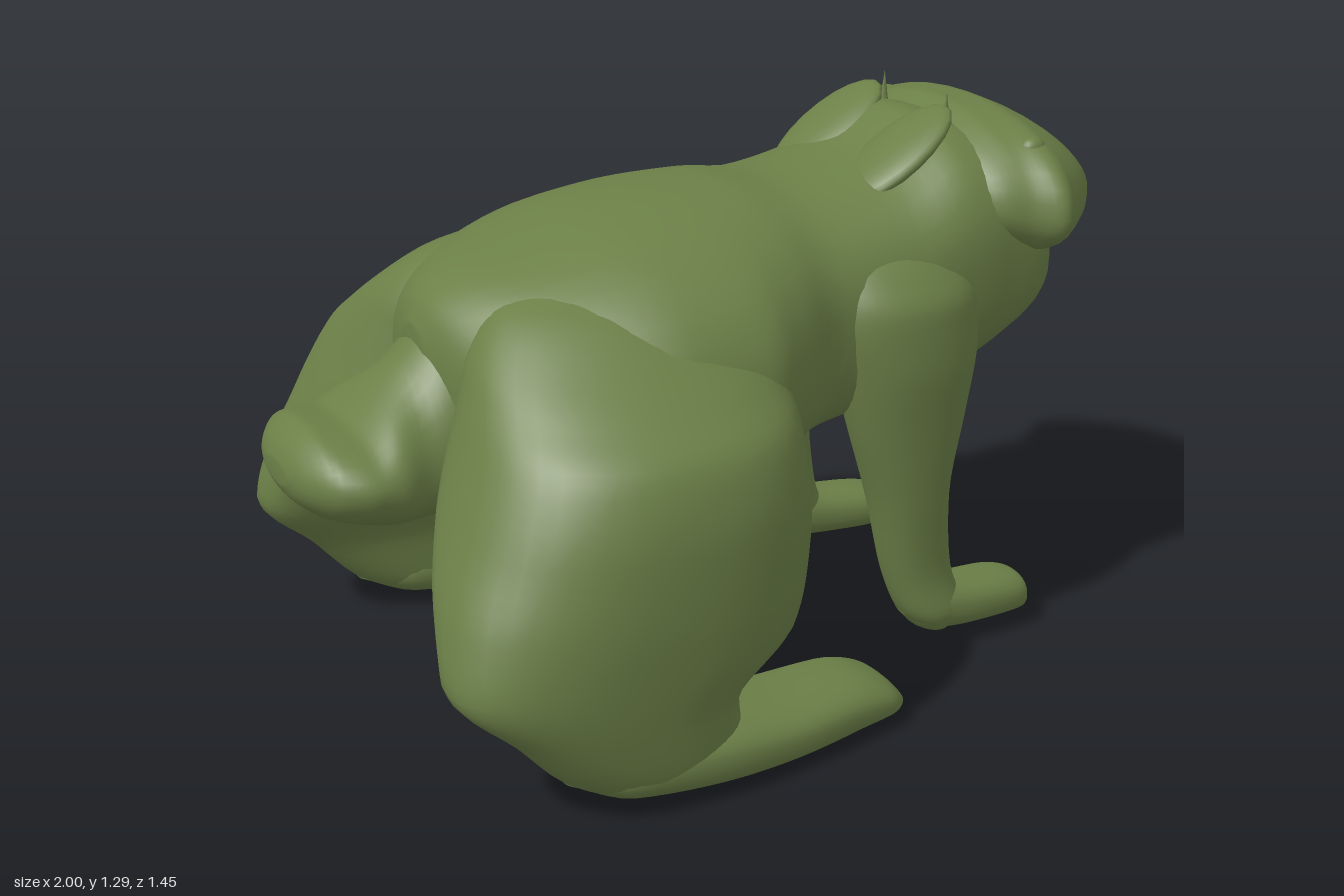
import * as THREE from 'three';

const fur = new THREE.MeshStandardMaterial({ color: 0x6b7f47 });
fur.name = 'mossGreen';
const SIDES = 40;

// Smooth skin through superelliptic rings.
// Ring: [position, u0, u1, uWidest, v0, v1, upperPower, lowerPower]
// Axis 'x' uses u=y v=z, axis 'y' uses u=z v=x.
function loft(name, axis, rings, steps = 5) {
  const rows = [];
  const last = rings.length - 1;
  for (let i = 0; i < last; i++) {
    const [p0, p1, p2, p3] = [-1, 0, 1, 2].map(k => rings[Math.min(last, Math.max(0, i + k))]);
    for (let s = 0; s < steps; s++) {
      const t = s / steps;
      rows.push(p1.map((b, k) => {
        // Tangents limited so the skin never overshoots its rings
        const c = p2[k], d0 = b - p0[k], d1 = c - b, d2 = p3[k] - c;
        const lim = (m, n) => m * n <= 0 ? 0 : 2 * m * n / (m + n);
        const m1 = i === 0 ? d1 : lim(d0, d1), m2 = i === last - 1 ? d1 : lim(d1, d2);
        const t2 = t * t, t3 = t2 * t;
        return (2 * t3 - 3 * t2 + 1) * b + (t3 - 2 * t2 + t) * m1 + (3 * t2 - 2 * t3) * c + (t3 - t2) * m2;
      }));
    }
  }
  rows.push(rings[last]);

  const pos = [], idx = [];
  const put = (t, u, v) => axis === 'x' ? pos.push(t, u, v) : pos.push(v, t, u);
  for (const [t, u0, u1, um, v0, v1, pu, pl] of rows) {
    for (let j = 0; j < SIDES; j++) {
      const a = j / SIDES * Math.PI * 2, c = Math.cos(a), s = Math.sin(a);
      const e = 2 / (c > 0 ? pu : pl);
      const cu = Math.sign(c) * Math.abs(c) ** e, sv = Math.sign(s) * Math.abs(s) ** e;
      put(t, um + cu * (cu > 0 ? u1 - um : um - u0), (v0 + v1) / 2 + sv * (v1 - v0) / 2);
    }
  }
  for (let i = 0; i < rows.length - 1; i++) {
    for (let j = 0; j < SIDES; j++) {
      const k = (j + 1) % SIDES, a = i * SIDES, b = a + SIDES;
      idx.push(a + j, a + k, b + j, a + k, b + k, b + j);
    }
  }
  // End caps
  const n = rows.length * SIDES, e = n - SIDES;
  for (const r of [rows[0], rows[rows.length - 1]]) put(r[0], r[3], (r[4] + r[5]) / 2);
  for (let j = 0; j < SIDES; j++) {
    const k = (j + 1) % SIDES;
    idx.push(n, k, j, n + 1, e + j, e + k);
  }
  const g = new THREE.BufferGeometry();
  g.setAttribute('position', new THREE.Float32BufferAttribute(pos, 3));
  g.setIndex(idx);
  g.computeVertexNormals();
  const mesh = new THREE.Mesh(g, fur);
  mesh.name = name;
  return mesh;
}

// Symmetric rings along x: [x, yBottom, yTop, yWidest, halfWidth, upperPower, lowerPower]
const central = list => list.map(([x, y0, y1, ym, w, pu, pl]) => [x, y0, y1, ym, -w, w, pu, pl]);
// Limb rings along y: [y, zInner, zOuter, xBack, xFront, power]
const limb = (list, s) => list.map(([y, a, b, x0, x1, p]) =>
  [y, Math.min(s * a, s * b), Math.max(s * a, s * b), s * (a + b) / 2, x0, x1, p, p]);
// Foot rings along x: [x, yBottom, yTop, zInner, zOuter, power]
const foot = (list, s) => list.map(([x, y0, y1, a, b, p]) =>
  [x, y0, y1, (y0 + y1) / 2, Math.min(s * a, s * b), Math.max(s * a, s * b), p, p]);

const BODY = [
  [-0.68, 0.62, 0.91, 0.80, 0.07, 2, 2], [-0.65, 0.55, 0.965, 0.80, 0.18, 2, 2.3],
  [-0.58, 0.51, 1.015, 0.78, 0.31, 2.1, 2.8], [-0.45, 0.485, 1.06, 0.76, 0.44, 2.2, 3.2],
  [-0.25, 0.48, 1.115, 0.76, 0.52, 2.1, 3.2], [-0.08, 0.51, 1.135, 0.77, 0.51, 2.1, 3],
  [0.05, 0.545, 1.14, 0.79, 0.44, 2.2, 2.8], [0.2, 0.56, 1.125, 0.82, 0.365, 2.4, 2.8],
  [0.4, 0.59, 1.155, 0.86, 0.36, 2.5, 2.8], [0.56, 0.62, 1.235, 0.94, 0.36, 2.4, 2.8],
  [0.66, 0.67, 1.215, 0.95, 0.35, 2.5, 3], [0.75, 0.755, 1.10, 0.93, 0.335, 2.6, 3.4],
  [0.795, 0.82, 1.0, 0.92, 0.30, 2.6, 3.4], [0.81, 0.86, 0.95, 0.91, 0.25, 2.4, 3],
];
const HEAD = [
  [0.54, 1.0, 1.17, 1.07, 0.27, 2, 2], [0.62, 0.93, 1.225, 1.05, 0.355, 2.1, 2.1],
  [0.68, 0.91, 1.25, 1.04, 0.385, 2.1, 2.2], [0.74, 0.905, 1.25, 1.04, 0.43, 2.1, 2.2],
  [0.80, 0.91, 1.23, 1.04, 0.385, 2.2, 2.4], [0.90, 0.955, 1.17, 1.04, 0.295, 2.3, 2.6],
  [0.97, 0.985, 1.105, 1.04, 0.20, 2.3, 2.6], [0.993, 1.0, 1.075, 1.04, 0.12, 2.2, 2.2],
  [1.0, 1.015, 1.055, 1.035, 0.06, 2, 2],
];
const TAIL = [
  [-1.0, 0.62, 0.67, 0.645, 0.06, 2, 2], [-0.985, 0.59, 0.70, 0.645, 0.125, 2, 2],
  [-0.93, 0.545, 0.742, 0.645, 0.215, 2, 2], [-0.86, 0.52, 0.738, 0.64, 0.243, 2, 2],
  [-0.80, 0.505, 0.78, 0.63, 0.24, 2, 2], [-0.72, 0.50, 0.84, 0.62, 0.21, 1.8, 2],
  [-0.62, 0.50, 0.92, 0.64, 0.2, 1.8, 2], [-0.5, 0.54, 0.92, 0.72, 0.18, 2, 2],
];
const HAUNCH = [
  [0.015, 0.48, 0.64, -0.45, -0.25, 2], [0.07, 0.43, 0.69, -0.61, -0.2, 2.2],
  [0.2, 0.425, 0.71, -0.74, -0.22, 2.4], [0.33, 0.36, 0.72, -0.86, -0.07, 2.4],
  [0.45, 0.25, 0.725, -0.84, -0.02, 2.4], [0.6, 0.10, 0.72, -0.78, 0.01, 2.4],
  [0.75, 0.04, 0.68, -0.715, 0.01, 2.3], [0.83, 0.03, 0.59, -0.68, 0.01, 2.2],
  [0.9, 0.02, 0.49, -0.645, 0.0, 2.1], [0.98, 0.02, 0.37, -0.57, -0.06, 2],
  [1.03, 0.06, 0.25, -0.44, -0.2, 2],
];
const HIND_FOOT = [
  [-0.62, 0.07, 0.14, 0.50, 0.62, 2], [-0.5, 0.025, 0.17, 0.43, 0.69, 2.3],
  [-0.3, 0.008, 0.16, 0.42, 0.70, 2.5], [-0.1, 0.002, 0.137, 0.41, 0.68, 2.5],
  [0.08, 0.004, 0.13, 0.405, 0.645, 2.4], [0.18, 0.008, 0.10, 0.41, 0.62, 2.3],
  [0.225, 0.012, 0.06, 0.43, 0.58, 2.2], [0.245, 0.018, 0.035, 0.46, 0.55, 2],
];
const FORELEG = [
  [0.05, 0.25, 0.36, 0.45, 0.53, 2], [0.1, 0.23, 0.38, 0.405, 0.57, 2.2],
  [0.2, 0.225, 0.37, 0.365, 0.535, 2.2], [0.4, 0.215, 0.39, 0.315, 0.513, 2.2],
  [0.6, 0.205, 0.41, 0.25, 0.545, 2.2], [0.75, 0.19, 0.425, 0.21, 0.57, 2.1],
  [0.87, 0.15, 0.42, 0.18, 0.58, 2], [0.96, 0.12, 0.365, 0.18, 0.56, 2],
  [1.04, 0.1, 0.26, 0.25, 0.48, 2],
];
const FORE_PAW = [
  [0.41, 0.09, 0.14, 0.27, 0.33, 2], [0.46, 0.045, 0.175, 0.23, 0.375, 2.2],
  [0.56, 0.035, 0.155, 0.225, 0.38, 2.4], [0.68, 0.03, 0.142, 0.215, 0.375, 2.3],
  [0.74, 0.03, 0.125, 0.23, 0.36, 2.3], [0.762, 0.045, 0.09, 0.26, 0.33, 2],
];

// Stretched and tilted ball for small details
function ball(name, center, radii, tilt = 0) {
  const g = new THREE.SphereGeometry(1, 20, 14).scale(...radii).rotateZ(tilt).translate(...center);
  const mesh = new THREE.Mesh(g, fur);
  mesh.name = name;
  return mesh;
}

export function createModel() {
  const model = new THREE.Group();
  model.name = 'crouchingAnimal';
  model.add(
    loft('body', 'x', central(BODY)),
    loft('head', 'x', central(HEAD)),
    loft('tail', 'x', central(TAIL)),
  );
  // Limbs, ears and eyes on both flanks
  for (const [side, s] of [['left', -1], ['right', 1]]) {
    model.add(
      loft(side + 'Haunch', 'y', limb(HAUNCH, s)),
      loft(side + 'HindFoot', 'x', foot(HIND_FOOT, s)),
      loft(side + 'Foreleg', 'y', limb(FORELEG, s)),
      loft(side + 'ForePaw', 'x', foot(FORE_PAW, s)),
      ball(side + 'EarBase', [0.46, 1.165, s * 0.14], [0.17, 0.032, 0.1], 0.6),
      ball(side + 'Eye', [0.735, 1.18, s * 0.292], [0.032, 0.025, 0.025]),
    );
    const ear = new THREE.Mesh(new THREE.ConeGeometry(0.012, 0.09, 8).translate(0.612, 1.245, s * 0.125), fur);
    ear.name = side + 'EarTip';
    model.add(ear);
  }
  return model;
}
